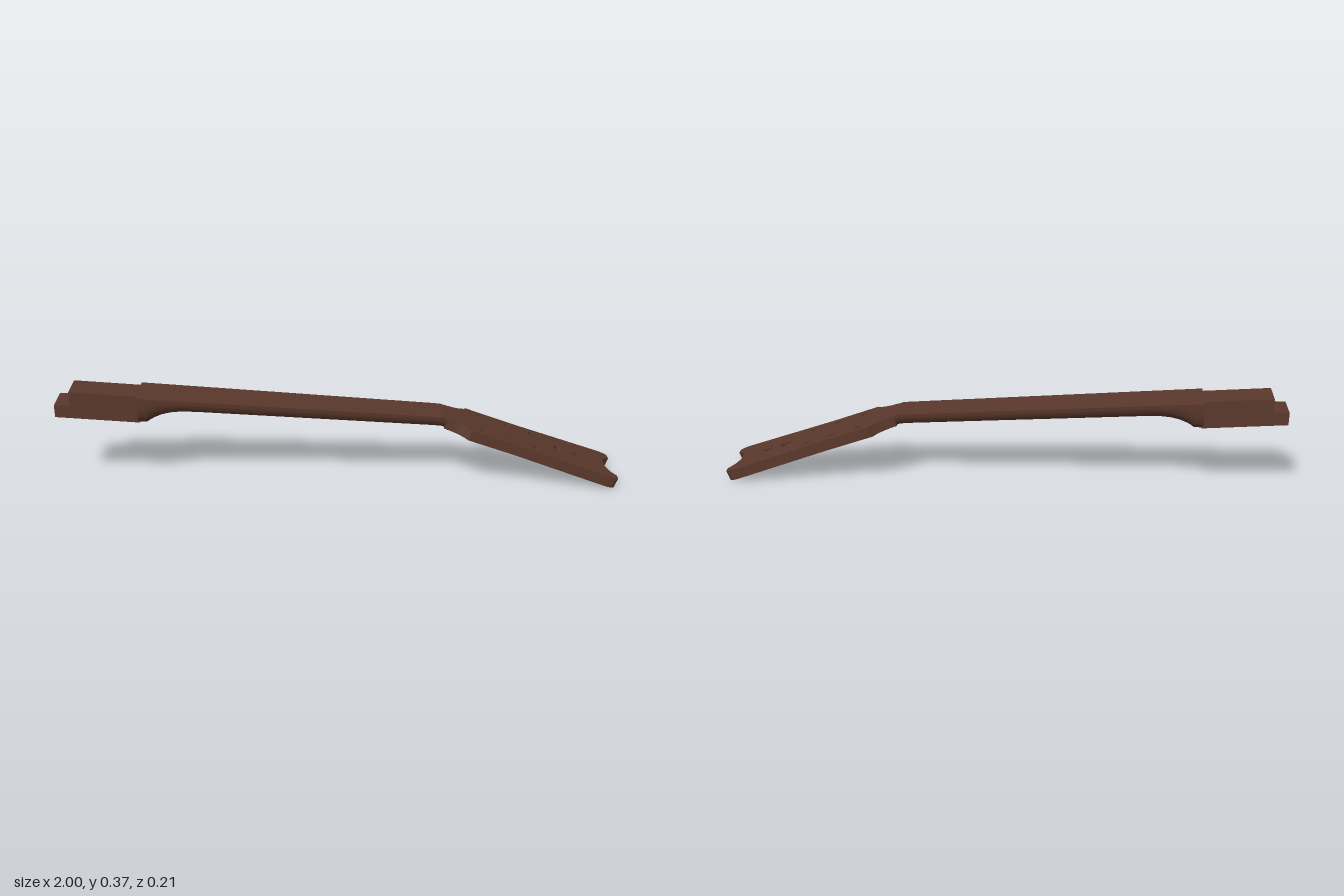
import * as THREE from 'three';
import { toCreasedNormals } from 'three/addons/utils/BufferGeometryUtils.js';

const TILT = THREE.MathUtils.degToRad(20); // headstock angle
const NUT = { x: 0.36, y: 0.272 };
const topY = (x) => (x < NUT.x
  ? NUT.y - 0.0786 * (x - NUT.x)
  : NUT.y - Math.tan(TILT) * (x - NUT.x) - 0.0005);

// Closed loft through flat-topped, round-bottomed sections [x, halfWidth, bottomY, roundness]
function loft(sections, segments = 28) {
  const rings = sections.map(([x, w, bottom, n]) => {
    const top = topY(x), ring = [];
    for (let j = 0; j <= segments; j++) {
      const a = (Math.PI * j) / segments, c = Math.cos(a), s = Math.max(0, Math.sin(a));
      const sPow = j === 0 || j === segments ? 0 : Math.pow(s, 2 / n);
      ring.push([x, top - (top - bottom) * sPow, w * Math.sign(c) * Math.pow(Math.abs(c), 2 / n)]);
    }
    return ring;
  });
  const pos = [], tri = (a, b, c) => pos.push(...a, ...b, ...c);
  const count = segments + 1;
  for (let i = 0; i < rings.length - 1; i++) {
    for (let j = 0; j < count; j++) {
      const k = (j + 1) % count, p = rings[i], q = rings[i + 1];
      tri(p[j], p[k], q[k]);
      tri(p[j], q[k], q[j]);
    }
  }
  const first = rings[0], last = rings[rings.length - 1];
  for (let j = 1; j < count - 1; j++) {
    tri(first[0], first[j + 1], first[j]);
    tri(last[0], last[j], last[j + 1]);
  }
  const geo = new THREE.BufferGeometry();
  geo.setAttribute('position', new THREE.Float32BufferAttribute(pos, 3));
  return toCreasedNormals(geo, 0.6);
}

export function createModel() {
  const group = new THREE.Group();
  const wood = new THREE.MeshStandardMaterial({ color: 0x5a382b });
  wood.name = 'dark brown wood';
  const add = (name, geo) => {
    const mesh = new THREE.Mesh(geo, wood);
    mesh.name = name;
    group.add(mesh);
    return mesh;
  };

  // Stepped tenon behind the heel
  const side = new THREE.Shape([
    [-1, 0.28], [-0.705, 0.2565], [-0.705, topY(-0.705) - 0.0005],
    [-0.945, topY(-0.945)], [-0.945, 0.325], [-1, 0.325],
  ].map(([x, y]) => new THREE.Vector2(x, y)));
  const tenon = new THREE.ExtrudeGeometry(side, { depth: 0.106, bevelEnabled: false });
  tenon.translate(0, 0, -0.053);
  add('tenon', tenon);

  // Heel, neck shaft and the blend under the headstock
  const width = (x) => 0.074 - (0.014 * (x + 0.71)) / 1.07;
  add('neck', loft([
    [-0.71, 0.25, 3.2], [-0.68, 0.25, 3.1], [-0.67, 0.257, 2.9], [-0.655, 0.265, 2.7],
    [-0.63, 0.275, 2.5], [-0.6, 0.282, 2.4], [-0.56, 0.2855, 2.3], [-0.5, 0.283, 2.3],
    [0.33, 0.224, 2.3], [0.36, 0.221, 2.4], [0.385, 0.214, 2.8], [0.41, 0.206, 3], [0.46, 0.192, 3],
  ].map(([x, bottom, n]) => [x, width(x), bottom, n])));

  // Headstock plate, drawn flat as (distance from nut, across)
  const plate = new THREE.Shape();
  plate.moveTo(0.02, -0.0605);
  plate.bezierCurveTo(0.06, -0.063, 0.085, -0.072, 0.108, -0.095);
  plate.lineTo(0.29, -0.0925);
  plate.lineTo(0.635, -0.105);
  plate.quadraticCurveTo(0.668, -0.104, 0.676, -0.092);
  plate.lineTo(0.676, -0.067);
  plate.bezierCurveTo(0.628, -0.045, 0.628, 0.045, 0.676, 0.067);
  plate.lineTo(0.676, 0.092);
  plate.quadraticCurveTo(0.668, 0.104, 0.635, 0.105);
  plate.lineTo(0.29, 0.0925);
  plate.lineTo(0.108, 0.095);
  plate.bezierCurveTo(0.085, 0.072, 0.06, 0.063, 0.02, 0.0605);
  plate.closePath();

  // Six small peg holes in pairs and two larger centre holes
  const hole = (s, t, r) => {
    const path = new THREE.Path();
    path.absarc(s, t, r, 0, Math.PI * 2, true);
    plate.holes.push(path);
  };
  for (const [s, t] of [[0.157, 0.062], [0.262, 0.058], [0.36, 0.06]]) {
    hole(s, t, 0.0105);
    hole(s, -t, 0.0105);
  }
  hole(0.459, 0, 0.019);
  hole(0.532, 0, 0.015);

  const head = new THREE.ExtrudeGeometry(plate, { depth: 0.039, bevelEnabled: false, curveSegments: 16 });
  head.translate(0, 0, -0.039);
  head.rotateX(-Math.PI / 2);
  const headstock = add('headstock', toCreasedNormals(head, 0.5));
  headstock.rotation.z = -TILT;
  headstock.position.set(NUT.x, NUT.y, 0);

  return group;
}
